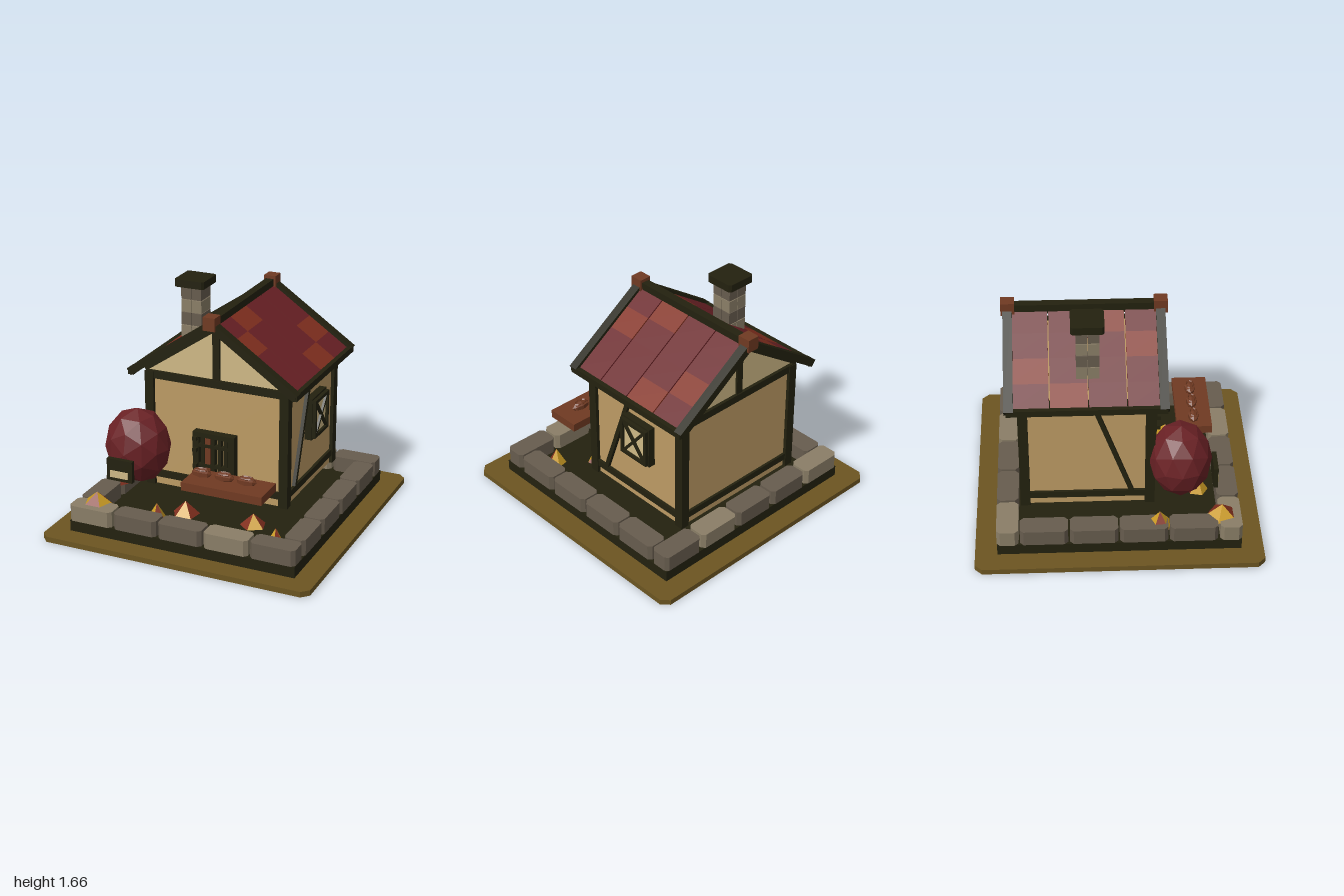
import * as THREE from 'three';

const paint = (name, color, flatShading = true) => {
  const m = new THREE.MeshStandardMaterial({ color, flatShading });
  m.name = name;
  return m;
};

export function createModel() {
  const root = new THREE.Group();
  root.name = 'cottage';
  const M = {
    soil: paint('olive soil', 0x6c5521),
    dark: paint('dark timber', 0x23210f),
    wall: paint('tan plaster', 0xbd9b64),
    cream: paint('cream plaster', 0xcfb986),
    red: paint('deep red', 0x6a2125),
    rust: paint('rust red', 0x83301f),
    brown: paint('brown wood', 0x703a22),
    stone: paint('grey stone', 0x675c4e),
    pale: paint('pale stone', 0x8a7e67),
    yellow: paint('leaf yellow', 0xc99a24),
  };

  const add = (name, geo, mat, x = 0, y = 0, z = 0) => {
    const mesh = new THREE.Mesh(geo, mat);
    mesh.name = name;
    mesh.position.set(x, y, z);
    root.add(mesh);
    return mesh;
  };
  // Box given by its low and high corners
  const box = (name, mat, x0, x1, y0, y1, z0, z1) =>
    add(name, new THREE.BoxGeometry(x1 - x0, y1 - y0, z1 - z0), mat, (x0 + x1) / 2, (y0 + y1) / 2, (z0 + z1) / 2);
  // Sloping timber between two points, w by d in section
  const strut = (name, mat, a, b, w, d) => {
    const p = new THREE.Vector3(...a), dir = new THREE.Vector3(...b).sub(p);
    const len = dir.length();
    const mesh = add(name, new THREE.BoxGeometry(w, len, d), mat);
    mesh.position.copy(p).addScaledVector(dir, 0.5);
    mesh.quaternion.setFromUnitVectors(new THREE.Vector3(0, 1, 0), dir.normalize());
    return mesh;
  };
  // Block with its upright edges cut off
  const block = (name, mat, x0, x1, y0, y1, z0, z1, c) => {
    const a = (x1 - x0) / 2, b = (z1 - z0) / 2;
    const pts = [[a, -b + c], [a, b - c], [a - c, b], [-a + c, b], [-a, b - c], [-a, -b + c], [-a + c, -b], [a - c, -b]];
    const shape = new THREE.Shape(pts.map((p) => new THREE.Vector2(...p)));
    const geo = new THREE.ExtrudeGeometry(shape, { depth: y1 - y0, bevelEnabled: false }).rotateX(-Math.PI / 2);
    return add(name, geo, mat, (x0 + x1) / 2, y0, (z0 + z1) / 2);
  };

  // Ground and low stone border
  block('groundPlate', M.soil, -1, 1, 0, 0.04, -1, 1, 0.05);
  box('plinth', M.dark, -0.845, 0.845, 0.04, 0.12, -0.845, 0.845);
  for (const s of [-1, 1]) {
    for (let i = 0; i < 5; i++) {
      const x = -0.85 + i * 0.342, z = s * 0.772;
      block('borderStone', i % 3 ? M.stone : M.pale, x, x + 0.325, 0.12, 0.235, z - 0.076, z + 0.076, 0.025);
    }
    for (let i = 0; i < 4; i++) {
      const z = -0.686 + i * 0.345;
      block('borderStone', M.stone, s * 0.772 - 0.076, s * 0.772 + 0.076, 0.12, 0.235, z, z + 0.332, 0.025);
    }
  }

  // Walls and timber frame
  box('walls', M.wall, -0.52, 0.52, 0.22, 1.08, -0.655, 0.23);
  for (const x of [-0.512, 0.512])
    for (const z of [-0.645, 0.222]) box('cornerPost', M.dark, x - 0.033, x + 0.033, 0.22, 1.08, z - 0.034, z + 0.034);
  for (const [y0, y1] of [[0.28, 0.33], [1.03, 1.085]]) {
    for (const z of [-0.645, 0.222]) box('crossBeam', M.dark, -0.54, 0.54, y0, y1, z - 0.028, z + 0.028);
    for (const x of [-0.512, 0.512]) box('sideBeam', M.dark, x - 0.028, x + 0.028, y0, y1, -0.64, 0.22);
  }
  for (const x of [-0.525, 0.525]) strut('sideBrace', M.dark, [x, 0.33, 0.095], [x, 1.0, -0.14], 0.04, 0.032);

  // Gables with king posts
  const tri = new THREE.Shape([[-0.53, 1.08], [0.53, 1.08], [0, 1.46]].map((p) => new THREE.Vector2(...p)));
  for (const z of [-0.65, 0.205]) {
    add('gable', new THREE.ExtrudeGeometry(tri, { depth: 0.02, bevelEnabled: false }), M.cream, 0, 0, z);
    box('kingPost', M.dark, -0.026, 0.026, 1.07, 1.49, z - 0.015, z + 0.04);
  }

  // Roof: tiles, rafters, eaves and ridge
  const slope = 0.683;
  const rustRow = [2, 3, 0, 1];
  for (const s of [-1, 1]) {
    for (let c = 0; c < 4; c++) {
      const z = -0.588 + c * 0.26;
      for (let r = 0; r < 4; r++) {
        const x0 = r * 0.15, x1 = x0 + 0.15;
        strut('roofTiles', rustRow[c] === r ? M.rust : M.red,
          [s * x0, 1.502 - slope * x0, z], [s * x1, 1.502 - slope * x1, z], 0.03, 0.252);
      }
    }
    for (const z of [-0.732, 0.308])
      strut('rafter', M.dark, [0, 1.513, z], [s * 0.625, 1.513 - slope * 0.625, z], 0.055, 0.064);
    for (const z of [-0.66, 0.235])
      strut('innerRafter', M.dark, [0, 1.472, z], [s * 0.54, 1.472 - slope * 0.54, z], 0.045, 0.05);
    box('eaveBeam', M.dark, s * 0.615 - 0.02, s * 0.615 + 0.02, 1.065, 1.11, -0.75, 0.33);
  }
  box('ridgeBeam', M.dark, -0.03, 0.03, 1.49, 1.552, -0.74, 0.32);
  for (const z of [-0.73, 0.31]) box('ridgeCap', M.brown, -0.045, 0.045, 1.48, 1.575, z - 0.047, z + 0.047);

  // Chimney of stacked stones
  for (let r = 0; r < 5; r++) {
    const y = 1.13 + r * 0.095;
    for (const dx of [-0.04, 0.04])
      for (const dz of [-0.04, 0.04])
        box('chimneyStone', r % 2 ? M.pale : M.stone, -0.398 + dx + 0.0, -0.322 + dx, y, y + 0.09, -0.236 + dz, -0.16 + dz);
  }
  block('chimneyCap', M.dark, -0.475, -0.25, 1.605, 1.66, -0.31, -0.085, 0.015);

  // Barred door
  for (const x of [-0.138, 0.135]) box('doorFrame', M.dark, x - 0.022, x + 0.022, 0.22, 0.7, 0.22, 0.29);
  box('doorLintel', M.dark, -0.16, 0.157, 0.665, 0.7, 0.22, 0.292);
  for (const x of [-0.088, -0.01, 0.04, 0.09]) box('doorBar', M.dark, x - 0.014, x + 0.014, 0.22, 0.67, 0.24, 0.28);
  box('doorPlank', M.brown, -0.07, -0.032, 0.22, 0.67, 0.24, 0.28);
  for (const y of [0.3, 0.45, 0.6]) box('doorRail', M.dark, -0.13, 0.13, y - 0.012, y + 0.012, 0.25, 0.284);
  for (const y of [0.3, 0.45, 0.57, 0.655]) box('doorStud', M.dark, -0.15, -0.12, y - 0.014, y + 0.014, 0.28, 0.318);

  // Side window with crossed bars
  box('windowBack', M.dark, 0.52, 0.572, 0.6, 0.91, -0.385, -0.115);
  box('windowPane', M.cream, 0.572, 0.58, 0.63, 0.88, -0.358, -0.142);
  for (const z of [-0.365, -0.135]) box('windowFrame', M.dark, 0.57, 0.598, 0.62, 0.89, z - 0.012, z + 0.012);
  for (const y of [0.625, 0.885]) box('windowFrame', M.dark, 0.57, 0.598, y - 0.012, y + 0.012, -0.377, -0.123);
  for (const s of [-1, 1])
    strut('windowBar', M.dark, [0.587, 0.635, -0.25 - s * 0.1], [0.587, 0.875, -0.25 + s * 0.1], 0.02, 0.02);

  // Counter with loaves
  box('counter', M.brown, -0.055, 0.54, 0.44, 0.5, 0.445, 0.695);
  for (const x of [0.04, 0.21, 0.375]) {
    add('loaf', new THREE.SphereGeometry(1, 6, 4).rotateZ(Math.PI / 2).scale(0.074, 0.034, 0.044), M.brown, x, 0.533, 0.565);
    const crust = add('loafCrust', new THREE.TorusGeometry(0.036, 0.007, 4, 8).rotateX(Math.PI / 2), M.brown, x, 0.557, 0.565);
    crust.scale.set(1.3, 1, 0.7);
  }

  // Bush and sign
  add('bush', new THREE.IcosahedronGeometry(1, 1).scale(0.235, 0.277, 0.22), M.red, -0.515, 0.59, 0.43);
  box('sign', M.dark, -0.628, -0.432, 0.41, 0.57, 0.655, 0.687);
  box('signPlate', M.cream, -0.6, -0.465, 0.435, 0.485, 0.687, 0.694);

  // Leaf piles: five-sided cones with yellow and rust faces
  const piles = [
    [-0.75, 0.2, 0.28, 0.09, 0.11, 0.4], [-0.695, 0.225, 0.715, 0.108, 0.088, 1.9], [-0.155, 0.12, 0.42, 0.1, 0.1, 0.8],
    [-0.3, 0.12, 0.58, 0.075, 0.125, 2.6], [0.35, 0.12, 0.39, 0.095, 0.09, 1.2], [0.6, 0.12, 0.585, 0.068, 0.12, 0.2],
  ];
  for (const [x, y, z, r, h, turn] of piles) {
    const geo = new THREE.ConeGeometry(r, h, 5, 1);
    geo.clearGroups();
    for (let i = 0; i < 5; i++) geo.addGroup(i * 3, 3, i === 0 || i === 3 ? 1 : 0);
    geo.addGroup(15, 15, 0);
    add('leafPile', geo, [M.yellow, M.rust], x, y + h / 2, z).rotation.y = turn;
  }
  return root;
}
